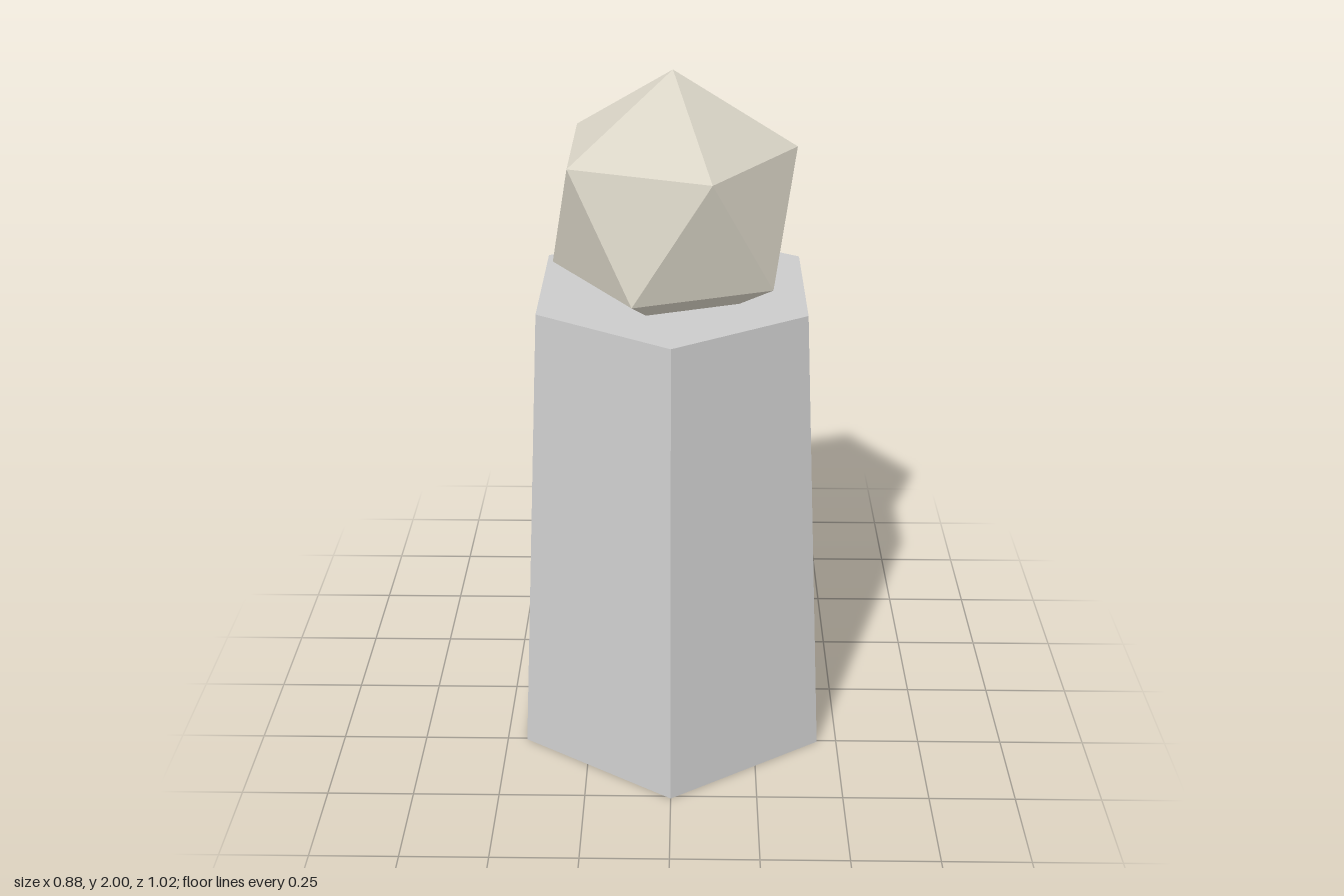
import * as THREE from 'three';

export function createModel() {
  const group = new THREE.Group();
  const add = (name, geometry, color, y) => {
    const material = new THREE.MeshStandardMaterial({ color, flatShading: true });
    const mesh = new THREE.Mesh(geometry, material);
    mesh.name = name;
    mesh.position.y = y;
    group.add(mesh);
  };

  // Tapered six-sided pedestal, corners pointing to front and back
  const height = 1.4;
  add('pedestal', new THREE.CylinderGeometry(0.417, 0.51, height, 6), 0xcccccc, height / 2);

  // Twenty-sided stone, tipped so one corner points straight up and sunk into the pedestal
  const radius = 0.369;
  const golden = (1 + Math.sqrt(5)) / 2;
  const stone = new THREE.IcosahedronGeometry(radius, 0).rotateZ(-Math.atan(1 / golden));
  add('stone', stone, 0xd9d4c6, 2 - radius);

  return group;
}
